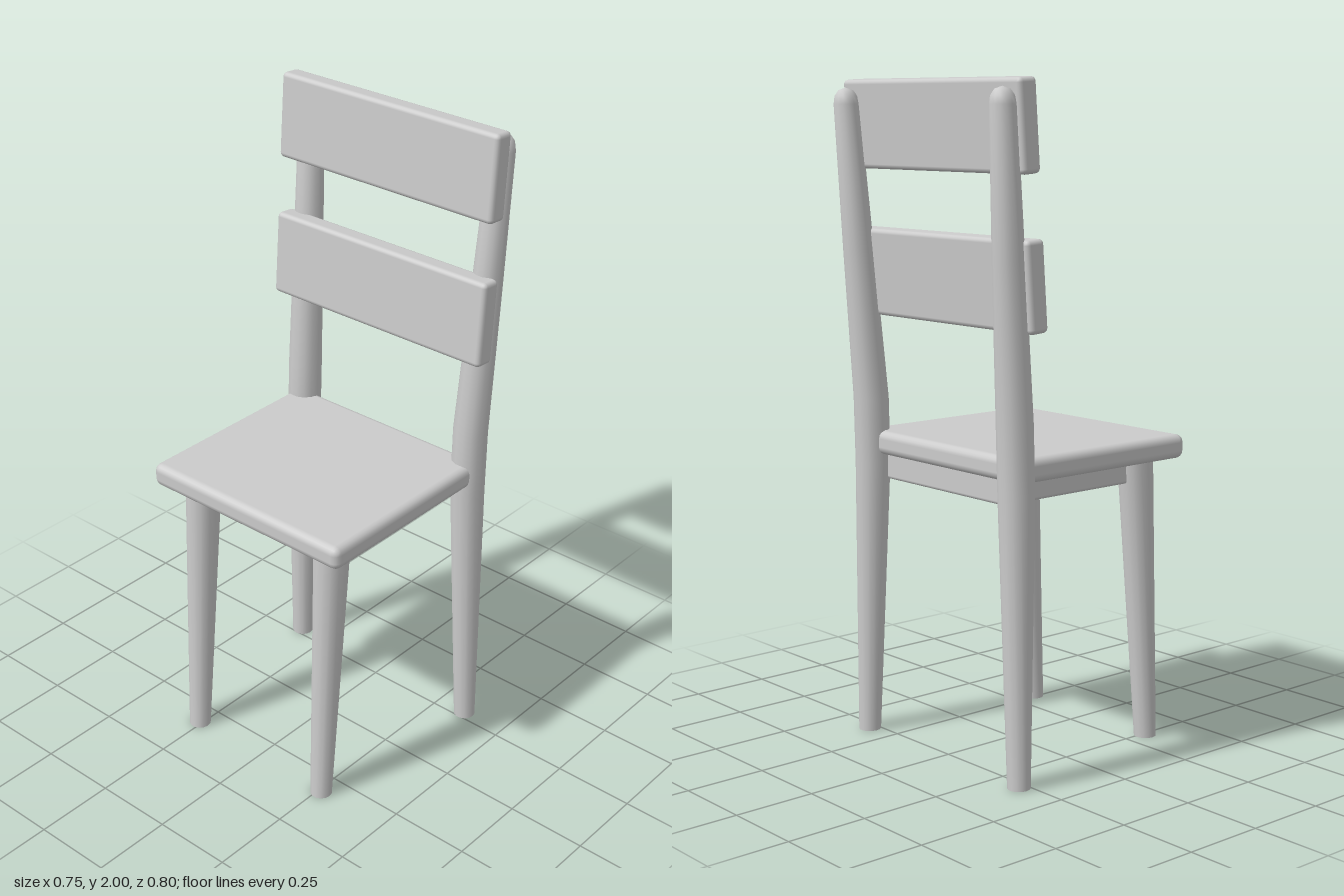
import * as THREE from 'three';
import { toCreasedNormals } from 'three/addons/utils/BufferGeometryUtils.js';
import { RoundedBoxGeometry } from 'three/addons/geometries/RoundedBoxGeometry.js';

const material = new THREE.MeshStandardMaterial({ color: 0xcccccc });

// Board with softened edges
function board(name, size, position, radius, lean = 0) {
  const mesh = new THREE.Mesh(new RoundedBoxGeometry(...size, 2, radius), material);
  mesh.name = name;
  mesh.position.set(...position);
  mesh.rotation.z = lean;
  return mesh;
}

// Tapered round pole: each station is [y, radius, x, z]
function pole(name, stations, side) {
  const profile = stations.map(([y, r]) => new THREE.Vector2(r, y));
  const geometry = new THREE.LatheGeometry([new THREE.Vector2(0, 0), ...profile], 14);
  const p = geometry.attributes.position;
  // Shift every ring onto the bent centre line
  for (let i = 0; i < p.count; i++) {
    const y = p.getY(i);
    let k = 0;
    while (k < stations.length - 2 && y > stations[k + 1][0]) k++;
    const a = stations[k], b = stations[k + 1];
    const t = (y - a[0]) / (b[0] - a[0]);
    p.setX(i, p.getX(i) + THREE.MathUtils.lerp(a[2], b[2], t));
    p.setZ(i, p.getZ(i) + side * THREE.MathUtils.lerp(a[3], b[3], t));
  }
  const mesh = new THREE.Mesh(toCreasedNormals(geometry, 0.8), material);
  mesh.name = name;
  return mesh;
}

export function createModel() {
  const chair = new THREE.Group();
  chair.name = 'chair';

  // Seat and the frame under it; the chair faces -x
  chair.add(board('seat', [0.66, 0.073, 0.73], [-0.045, 0.915, 0], 0.024));
  chair.add(board('seatFrame', [0.53, 0.11, 0.54], [0, 0.86, 0], 0.01));

  // Back slats, leaning with the posts
  chair.add(board('lowerSlat', [0.065, 0.26, 0.795], [0.248, 1.432, 0], 0.014, -0.07));
  chair.add(board('upperSlat', [0.065, 0.26, 0.795], [0.277, 1.868, 0], 0.014, -0.07));

  for (const side of [1, -1]) {
    const label = side > 0 ? 'Left' : 'Right';
    // Front leg, splayed towards the floor
    chair.add(pole('frontLeg' + label, [
      [0, 0.034, -0.322, 0.26],
      [0.9, 0.055, -0.268, 0.257],
    ], side));
    // Rear leg running up into the back post, with a domed tip
    chair.add(pole('backPost' + label, [
      [0, 0.034, 0.278, 0.352],
      [0.85, 0.053, 0.27, 0.331],
      [1.05, 0.053, 0.275, 0.33],
      [1.5, 0.046, 0.307, 0.341],
      [1.925, 0.038, 0.336, 0.352],
      [1.948, 0.034, 0.337, 0.352],
      [1.965, 0.022, 0.338, 0.352],
      [1.973, 0, 0.339, 0.352],
    ], side));
  }
  return chair;
}
